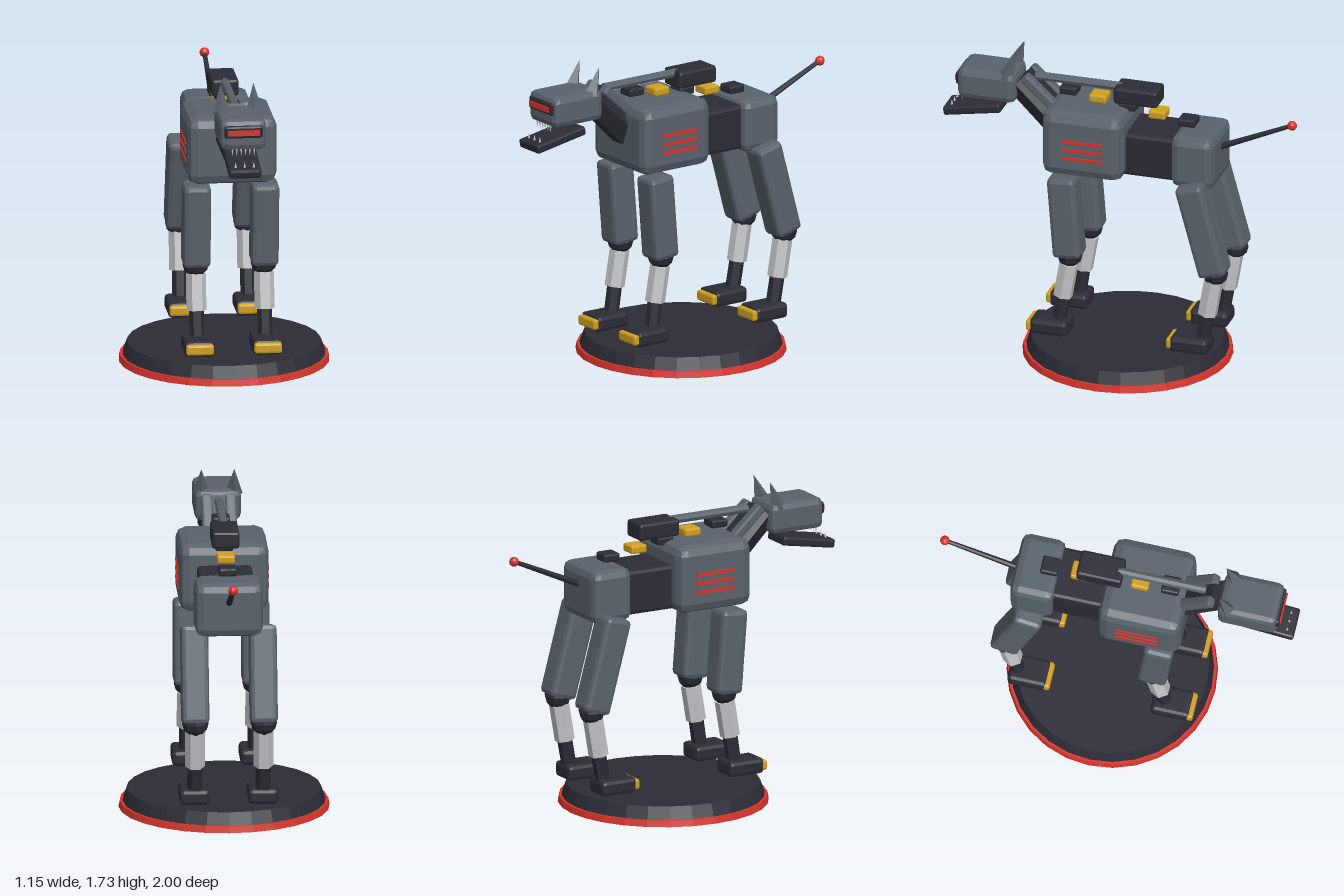
import * as THREE from 'three';
import { RoundedBoxGeometry } from 'three/addons/geometries/RoundedBoxGeometry.js';

function material(name, color) {
  const m = new THREE.MeshStandardMaterial({ color, flatShading: true });
  m.name = name;
  return m;
}

export function createModel() {
  const body = material('slate armour', 0x59626c);
  const dark = material('dark frame', 0x2b2c35);
  const light = material('light metal', 0xc4c6c9);
  const gold = material('gold', 0xd0a01f);
  const red = material('red', 0xd8342c);

  const model = new THREE.Group();
  model.name = 'robotHound';

  function add(name, geometry, mat, x, y, z, parent = model) {
    const mesh = new THREE.Mesh(geometry, mat);
    mesh.name = name;
    mesh.position.set(x, y, z);
    parent.add(mesh);
    return mesh;
  }
  // Box with bevelled edges
  const box = (name, mat, [w, h, d], r, [x, y, z], parent) =>
    add(name, new RoundedBoxGeometry(w, h, d, 1, r), mat, x, y, z, parent);

  // Turns a mesh built along y so that it runs from a to b (both [y, z])
  function along(mesh, a, b) {
    mesh.position.y = (a[0] + b[0]) / 2;
    mesh.position.z = (a[1] + b[1]) / 2;
    mesh.rotation.x = Math.atan2(b[1] - a[1], b[0] - a[0]);
    return mesh;
  }
  const span = (a, b) => Math.hypot(b[0] - a[0], b[1] - a[1]);

  // Rod in the side plane, with a corner pointing sideways
  function rod(name, mat, rBottom, rTop, a, b, x = 0, sides = 6, parent = model) {
    const g = new THREE.CylinderGeometry(rTop, rBottom, span(a, b), sides);
    g.rotateY(Math.PI / 2);
    return along(add(name, g, mat, x, 0, 0, parent), a, b);
  }

  // Display base
  add('baseRim', new THREE.CylinderGeometry(0.57, 0.577, 0.035, 28), red, 0, 0.0175, -0.035);
  add('baseTop', new THREE.CylinderGeometry(0.53, 0.555, 0.07, 28), dark, 0, 0.07, -0.035);

  // Trunk
  box('chest', body, [0.49, 0.38, 0.46], 0.055, [0, 1.288, 0.162]);
  box('waist', dark, [0.3, 0.25, 0.46], 0.02, [0, 1.24, -0.2]);
  box('hips', body, [0.37, 0.3, 0.245], 0.045, [0, 1.243, -0.45]);
  for (const side of [-1, 1]) {
    for (let i = 0; i < 3; i++) {
      add('chestStripe', new THREE.BoxGeometry(0.009, 0.019, 0.235), red,
        side * 0.246, 1.317 - i * 0.05, 0.153);
    }
  }

  // Legs: points are [y, z] in the side plane
  const legs = {
    front: { top: [1.085, 0.277], knee: [0.615, 0.24], shin: [0.565, 0.244],
      mid: [0.365, 0.278], ankle: [0.2, 0.302], foot: 0.342 },
    rear: { top: [1.135, -0.45], knee: [0.615, -0.592], shin: [0.575, -0.583],
      mid: [0.365, -0.547], ankle: [0.2, -0.517], foot: -0.458 },
  };
  for (const [end, p] of Object.entries(legs)) {
    for (const side of [-1, 1]) {
      const leg = new THREE.Group();
      leg.name = end + (side > 0 ? 'LeftLeg' : 'RightLeg');
      leg.position.x = side * 0.187;
      model.add(leg);
      along(box('upperLeg', body, [0.15, span(p.top, p.knee), 0.16], 0.025, [0, 0, 0], leg),
        p.knee, p.top);
      add('knee', new THREE.SphereGeometry(0.073, 8, 6), dark, 0, p.knee[0] + 0.005, p.knee[1], leg);
      rod('shin', light, 0.055, 0.055, p.mid, p.shin, 0, 6, leg);
      rod('lowerLeg', dark, 0.041, 0.041, p.ankle, p.mid, 0, 6, leg);
      box('foot', dark, [0.163, 0.088, 0.215], 0.022, [0, 0.188, p.foot], leg);
      box('toe', gold, [0.152, 0.058, 0.05], 0.012, [0, 0.189, p.foot + 0.104], leg);
    }
  }

  // Neck with a pair of armour pistons
  rod('neck', dark, 0.095, 0.09, [1.3, 0.33], [1.545, 0.58]);
  for (const side of [-1, 1]) {
    along(box('neckPiston', body, [0.06, 0.23, 0.055], 0.012, [side * 0.065, 0, 0]),
      [1.44, 0.37], [1.59, 0.535]);
  }

  // Head
  box('head', body, [0.254, 0.175, 0.33], 0.035, [0, 1.523, 0.741]);
  box('visorFrame', dark, [0.21, 0.07, 0.03], 0.012, [0, 1.545, 0.904]);
  add('visor', new THREE.BoxGeometry(0.175, 0.03, 0.009), red, 0, 1.542, 0.922);
  for (const side of [-1, 1]) {
    const ear = add('ear', new THREE.ConeGeometry(0.048, 0.16, 4), body, side * 0.09, 1.655, 0.61);
    ear.rotation.x = -0.33;
  }
  const jaw = box('jaw', dark, [0.178, 0.05, 0.33], 0.012, [0, 1.355, 0.833]);
  jaw.rotation.x = 0.175;

  // Teeth: six above, three below
  for (let i = 0; i < 6; i++) {
    const fang = add('upperTooth', new THREE.ConeGeometry(0.008, 0.05, 5), light,
      -0.06 + i * 0.024, 1.428, 0.89);
    fang.rotation.x = Math.PI;
  }
  for (const x of [-0.05, 0, 0.05]) {
    add('lowerTooth', new THREE.ConeGeometry(0.008, 0.035, 5), light, x, 1.372, 0.955);
  }

  // Spine plates, stepping down towards the tail
  for (let i = 0; i < 5; i++) {
    box('spinePlate', i % 2 ? gold : dark, [0.098, 0.046, 0.098], 0.01,
      [0, 1.525 - i * 0.0255, 0.295 - i * 0.169]);
  }

  // Back-mounted launcher
  box('launcherBody', dark, [0.15, 0.096, 0.25], 0.015, [0, 1.547, -0.097]);
  rod('launcherBarrel', body, 0.025, 0.025, [1.575, 0], [1.575, 0.49], 0, 8);

  // Tail antenna
  rod('tail', dark, 0.018, 0.012, [1.29, -0.56], [1.472, -0.97], 0, 8);
  add('tailTip', new THREE.SphereGeometry(0.027, 10, 8), red, 0, 1.472, -0.972);

  return model;
}
